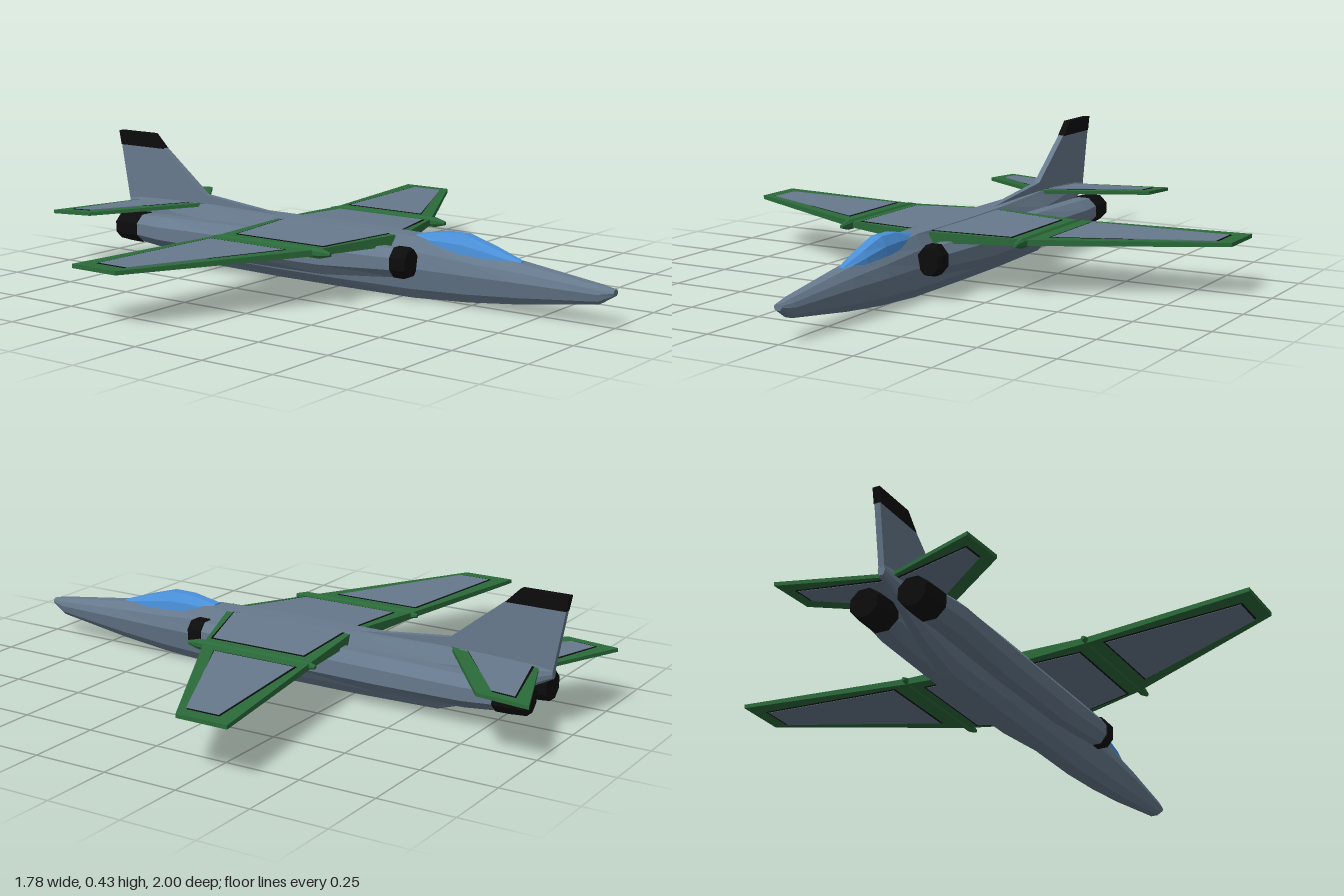
import * as THREE from 'three';

const mat = (name, color) => {
  const m = new THREE.MeshStandardMaterial({ color, flatShading: true });
  m.name = name;
  return m;
};

// Skin a list of rings (each counter-clockwise seen from the first ring's side) and cap both ends.
function loft(rings) {
  const pos = [];
  const tri = (...p) => p.forEach((v) => pos.push(...v));
  const n = rings[0].length;
  for (let i = 0; i < rings.length - 1; i++) {
    for (let j = 0; j < n; j++) {
      const k = (j + 1) % n;
      const [a, b, c, d] = [rings[i][j], rings[i][k], rings[i + 1][k], rings[i + 1][j]];
      tri(a, d, b);
      tri(b, d, c);
    }
  }
  const first = rings[0], last = rings[rings.length - 1];
  for (let j = 1; j < n - 1; j++) {
    tri(first[0], first[j], first[j + 1]);
    tri(last[0], last[j + 1], last[j]);
  }
  const g = new THREE.BufferGeometry();
  g.setAttribute('position', new THREE.Float32BufferAttribute(pos, 3));
  g.computeVertexNormals();
  return g;
}

// Mirror a half profile (bottom to top on the +x side) into a closed ring.
const mirrorRing = (half, z) => [
  ...half.map(([x, y]) => [x, y, z]),
  ...half.slice().reverse().map(([x, y]) => [-x, y, z]),
];

// Octagonal ring with flat sides.
const octagon = (z, cx, cy, rx, ry) => Array.from({ length: 8 }, (_, i) => {
  const a = ((i + 0.5) * Math.PI) / 4;
  return [cx + (rx * Math.cos(a)) / 0.924, cy + (ry * Math.sin(a)) / 0.924, z];
});

// Slab over a plan outline of [x, z], following an upper and lower surface.
function slab(outline, side, surface, lift = 0) {
  const pts = side > 0 ? outline : outline.slice().reverse();
  const layer = (k) => pts.map(([x, z]) => [x * side, surface(x, z)[k] + (k ? -lift : lift), z]);
  return loft([layer(0), layer(1)]);
}

// Push the corners of a panel outline outward.
function grow(outline, d) {
  const mx = outline.reduce((s, p) => s + p[0], 0) / outline.length;
  const mz = outline.reduce((s, p) => s + p[1], 0) / outline.length;
  return outline.map(([x, z]) => [x + d * Math.sign(x - mx), z + d * Math.sign(z - mz)]);
}

export function createModel() {
  const group = new THREE.Group();
  const slate = mat('slate', 0x66798c);
  const green = mat('green', 0x2b6b3a);
  const black = mat('black', 0x0c0c0c);
  const blue = mat('canopyBlue', 0x4a90d9);
  const add = (name, geometry, material) => {
    const m = new THREE.Mesh(geometry, material);
    m.name = name;
    group.add(m);
    return m;
  };

  // Fuselage: z, top y, top half width, middle y, middle half width, bottom y, bottom half width
  const body = [
    [1.0, 0.118, 0.006, 0.108, 0.014, 0.098, 0.006],
    [0.95, 0.126, 0.012, 0.1, 0.026, 0.068, 0.012],
    [0.68, 0.16, 0.02, 0.105, 0.05, 0.032, 0.02],
    [0.5, 0.178, 0.026, 0.105, 0.06, 0.014, 0.024],
    [0.3, 0.203, 0.032, 0.105, 0.066, 0.002, 0.026],
    [0.0, 0.205, 0.042, 0.1, 0.068, 0, 0.026],
    [-0.25, 0.206, 0.036, 0.1, 0.068, 0, 0.026],
    [-0.55, 0.21, 0.02, 0.1, 0.06, 0.004, 0.022],
    [-0.7, 0.208, 0.015, 0.12, 0.04, 0.05, 0.015],
    [-0.93, 0.2, 0.008, 0.18, 0.012, 0.165, 0.006],
  ];
  add('fuselage', loft(body.map(([z, t, tw, m, mw, b, bw]) => mirrorRing([
    [bw, b],
    [bw + (mw - bw) * 0.6, b + (m - b) * 0.32],
    [mw, m],
    [tw + (mw - tw) * 0.7, m + (t - m) * 0.55],
    [tw, t],
  ], z))), slate);

  // Canopy: z, base y, top y, half width
  const glass = [
    [0.68, 0.15, 0.163, 0.016],
    [0.58, 0.16, 0.196, 0.032],
    [0.48, 0.165, 0.225, 0.038],
    [0.4, 0.17, 0.224, 0.038],
    [0.3, 0.18, 0.206, 0.032],
  ];
  add('canopy', loft(glass.map(([z, b, t, w]) => mirrorRing([
    [w, b], [w * 0.92, b + (t - b) * 0.5], [w * 0.45, t],
  ], z))), blue);

  // Fin with dorsal spine and dark cap, drawn in (-z, y)
  const finPart = (name, points, depth, material) => {
    const shape = new THREE.Shape(points.map(([z, y]) => new THREE.Vector2(-z, y)));
    const g = new THREE.ExtrudeGeometry(shape, { depth, bevelEnabled: false });
    g.translate(0, 0, -depth / 2);
    g.rotateY(Math.PI / 2);
    add(name, g, material);
  };
  finPart('fin', [[-0.2, 0.2], [-0.93, 0.19], [-0.965, 0.385], [-0.765, 0.385], [-0.58, 0.24]], 0.02, slate);
  finPart('finCap', [[-0.765, 0.383], [-0.965, 0.383], [-0.975, 0.432], [-0.815, 0.432]], 0.024, black);

  // Upper and lower heights of the wing and tailplane
  const wingSurface = (x) => [
    x < 0.32 ? 0.2 - ((x - 0.04) / 0.28) * 0.015 : 0.185 - ((x - 0.32) / 0.57) * 0.007,
    0.165,
  ];
  const tailSurface = (x, z) => {
    const y = 0.204 + (z + 0.6) * 0.055;
    return [y + 0.006, y - 0.006];
  };

  // Plan outlines [x, z], counter-clockwise from above
  const surfaces = [
    {
      name: 'innerWing', surface: wingSurface,
      outline: [[0.04, 0.235], [0.32, 0.13], [0.32, -0.265], [0.04, -0.24]],
      panel: [[0.04, 0.205], [0.275, 0.125], [0.275, -0.215], [0.04, -0.212]],
    },
    {
      name: 'outerWing', surface: wingSurface,
      outline: [[0.32, 0.13], [0.89, -0.175], [0.89, -0.352], [0.32, -0.265]],
      panel: [[0.378, 0.05], [0.838, -0.175], [0.838, -0.288], [0.378, -0.245]],
    },
    {
      name: 'tailplane', surface: tailSurface,
      outline: [[0, -0.58], [0.32, -0.83], [0.32, -1.0], [0, -0.88]],
      panel: [[0.012, -0.645], [0.28, -0.86], [0.28, -0.937], [0.012, -0.862]],
    },
  ];

  for (const side of [1, -1]) {
    const label = side > 0 ? 'left' : 'right';

    // Lifting surfaces with inset panels and dark panel outlines
    for (const { name, surface, outline, panel } of surfaces) {
      add(`${label} ${name}`, slab(outline, side, surface), green);
      add(`${label} ${name} panelOutline`, slab(grow(panel, 0.006), side, surface, 0.0012), black);
      add(`${label} ${name} panel`, slab(panel, side, surface, 0.0024), slate);
    }

    // Wing fence between inner and outer panels
    add(`${label} wingFence`, loft([
      [0.188, 0.006, 0.006], [0.15, 0.011, 0.016], [-0.24, 0.011, 0.016], [-0.285, 0.006, 0.006],
    ].map(([z, rx, ry]) => octagon(z, 0.32 * side, 0.176, rx, ry))), green);

    // Engine pod, intake lip and exhaust nozzle: z, centre x, centre y, half width, half height
    const pod = (name, rows, material) => add(`${label} ${name}`,
      loft(rows.map(([z, x, y, rx, ry]) => octagon(z, x * side, y, rx, ry))), material);
    pod('intake', [
      [0.332, 0.092, 0.128, 0.036, 0.042],
      [0.318, 0.094, 0.128, 0.041, 0.048],
      [0.278, 0.094, 0.128, 0.041, 0.048],
    ], black);
    pod('enginePod', [
      [0.29, 0.092, 0.126, 0.037, 0.045],
      [0.0, 0.092, 0.114, 0.042, 0.06],
      [-0.4, 0.091, 0.112, 0.048, 0.06],
      [-0.69, 0.09, 0.114, 0.055, 0.052],
      [-0.8, 0.08, 0.115, 0.05, 0.046],
    ], slate);
    pod('nozzle', [
      [-0.79, 0.08, 0.115, 0.054, 0.05],
      [-0.84, 0.08, 0.115, 0.053, 0.049],
      [-0.892, 0.08, 0.113, 0.046, 0.044],
    ], black);
  }
  return group;
}
